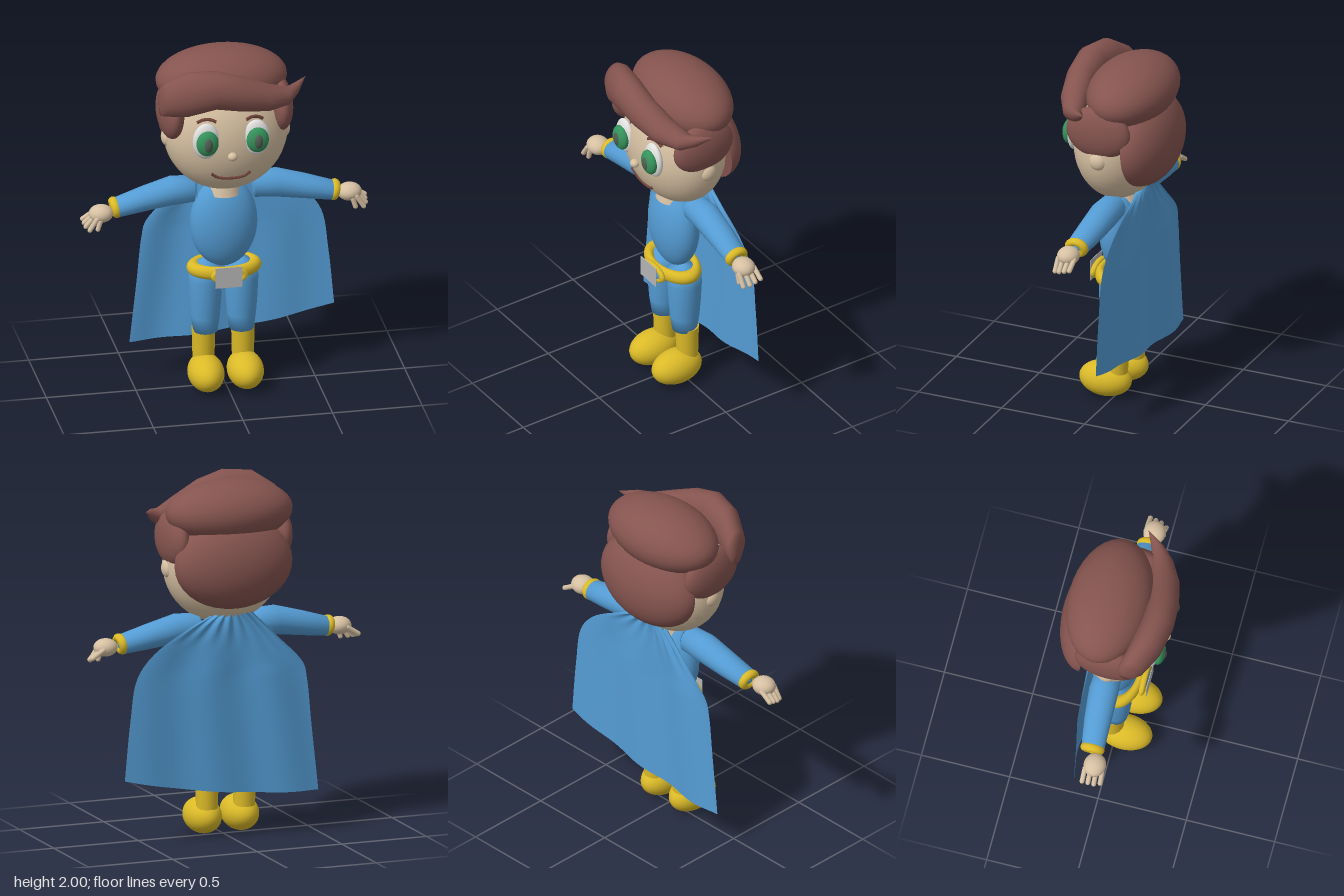
import * as THREE from 'three';

const mat = (name, color, extra = {}) => {
  const m = new THREE.MeshStandardMaterial({ color, ...extra });
  m.name = name;
  return m;
};

// Skin of elliptical sections along x: [x, y, z, ry, rz]
function loftX(sections, n = 20) {
  const pos = [], idx = [];
  for (const [x, y, z, ry, rz] of sections)
    for (let j = 0; j < n; j++) {
      const a = (j / n) * Math.PI * 2;
      pos.push(x, y + Math.sin(a) * ry, z + Math.cos(a) * rz);
    }
  for (let i = 0; i < sections.length - 1; i++)
    for (let j = 0; j < n; j++) {
      const a = i * n + j, b = i * n + (j + 1) % n;
      idx.push(a, a + n, b, b, a + n, b + n);
    }
  const g = new THREE.BufferGeometry();
  g.setAttribute('position', new THREE.Float32BufferAttribute(pos, 3));
  g.setIndex(idx);
  g.computeVertexNormals();
  return g;
}

export function createModel() {
  const root = new THREE.Group();
  root.name = 'capedFigure';

  const skin = mat('skin', 0xd6c0a2), hair = mat('hair brown', 0x85544f);
  const blue = mat('suit blue', 0x549cd4), cloth = mat('cape blue', 0x549cd4, { side: THREE.DoubleSide });
  const gold = mat('gold', 0xdbba28), white = mat('eye white', 0xe0e0de);
  const green = mat('iris green', 0x35935c), pupilGrey = mat('pupil grey', 0x505e52);
  const lip = mat('dark brown', 0x70433a), silver = mat('buckle grey', 0xb4b4b4);

  const add = (name, geo, m, p = [0, 0, 0], s = [1, 1, 1]) => {
    const mesh = new THREE.Mesh(geo, m);
    mesh.name = name;
    mesh.position.set(...p);
    mesh.scale.set(...s);
    root.add(mesh);
    return mesh;
  };
  const unit = new THREE.SphereGeometry(1, 36, 24);
  const ball = (name, m, p, s) => add(name, unit, m, p, s);
  const V = (a) => new THREE.Vector3(...a);
  const tube = (name, m, pts, r) =>
    add(name, new THREE.TubeGeometry(new THREE.CatmullRomCurve3(pts.map(V)), 20, r, 8), m);

  // Head
  const headZ = (x, y) => 0.25 * Math.sqrt(1 - (x / 0.345) ** 2 - ((y - 1.535) / 0.345) ** 2);
  ball('head', skin, [0, 1.535, 0], [0.345, 0.345, 0.25]);
  ball('nose', skin, [-0.01, 1.48, 0.258], [0.027, 0.024, 0.026]);
  for (const s of [-1, 1]) ball('ear', skin, [s * 0.325, 1.515, 0], [0.035, 0.052, 0.05]);

  // Eyes and brows
  for (const [x, s] of [[-0.152, -1], [0.128, 1]]) {
    ball('eyeWhite', white, [x, 1.572, 0.225], [0.075, 0.105, 0.034]);
    ball('iris', green, [x + 0.002, 1.57, 0.256], [0.062, 0.073, 0.035]);
    ball('pupil', pupilGrey, [x + 0.003, 1.57, 0.274], [0.029, 0.046, 0.024]);
    const brow = [-0.05, -0.02, 0.02, 0.05].map((d, i) => {
      const bx = x + 0.008 * -s + d, y = 1.683 + [-0.008, 0.006, 0.006, -0.008][i] - s * d * 0.1;
      return [bx, y, headZ(bx, y) + 0.004];
    });
    tube('eyebrow', lip, brow, 0.009);
  }

  // Mouth
  tube('mouth', lip, [-0.12, -0.085, -0.04, 0.03, 0.07, 0.1].map((x, i) => {
    const y = [1.364, 1.338, 1.329, 1.329, 1.338, 1.364][i];
    return [x, y, headZ(x, y) + 0.004];
  }), 0.008);

  // Hair: crown, sides, back and swept fringe
  ball('hairCrown', hair, [-0.012, 1.825, -0.06], [0.365, 0.175, 0.23]);
  for (const s of [-1, 1])
    ball('hairSide', hair, [s * 0.303 - 0.008, 1.675, 0.01], [0.073, 0.15, 0.19]);
  const half = new THREE.SphereGeometry(1, 36, 14, 0, Math.PI * 2, 0, Math.PI / 2);
  half.rotateX(-Math.PI / 2);
  const backHair = add('hairBack', half, hair, [0, 1.55, -0.145], [0.345, 0.255, 0.178]);
  const backCap = add('hairBackInner', new THREE.CircleGeometry(1, 36), hair, [0, 1.55, -0.145], [0.345, 0.255, 1]);
  backHair.rotation.x = backCap.rotation.x = 0.1;
  add('hairFringe', loftX([
    [-0.395, 1.765, 0.12, 0, 0],
    [-0.39, 1.785, 0.13, 0.08, 0.045],
    [-0.365, 1.805, 0.15, 0.095, 0.07],
    [-0.25, 1.85, 0.2, 0.128, 0.088],
    [-0.1, 1.878, 0.232, 0.11, 0.09],
    [0.05, 1.842, 0.232, 0.1, 0.083],
    [0.2, 1.795, 0.2, 0.076, 0.08],
    [0.32, 1.773, 0.152, 0.048, 0.06],
    [0.38, 1.797, 0.107, 0.033, 0.038],
    [0.44, 1.83, 0.04, 0, 0],
  ]), hair);

  // Torso and neck
  ball('torso', blue, [-0.01, 0.98, 0], [0.187, 0.265, 0.116]);
  add('neck', new THREE.CylinderGeometry(0.08, 0.1, 0.08, 24), skin, [-0.01, 1.2, 0]);

  // Arms, cuffs and hands
  for (const s of [-1, 1]) {
    const side = s < 0 ? 'right' : 'left', off = s < 0 ? -0.012 : 0;
    const arm = loftX([
      [0.15, 1.18, -0.02, 0, 0], [0.15, 1.18, -0.02, 0.06, 0.06],
      [0.165, 1.18, -0.02, 0.075, 0.075], [0.29, 1.178, -0.02, 0.082, 0.082],
      [0.45, 1.145, -0.012, 0.07, 0.075], [0.6, 1.112, 0, 0.056, 0.064], [0.62, 1.11, 0, 0, 0],
    ].map(([x, ...r]) => [s * x + off, ...r]).sort((a, b) => a[0] - b[0]));
    add(side + 'Arm', arm, blue);
    const cuff = add(side + 'Cuff', new THREE.TorusGeometry(0.043, 0.023, 12, 28), gold,
      [s * 0.605 + off, 1.114, 0], [1.04, 0.9, 1.1]);
    cuff.rotation.set(0, Math.PI / 2, -s * 0.25, 'ZYX');
    const hz = s < 0 ? 0.035 : 0.01;
    ball(side + 'Palm', skin, [s * 0.69 + off, 1.1, hz], [0.068, 0.05, 0.062]);
    for (let i = 0; i < 4; i++) {
      const z = hz + (i - 1.5) * 0.032;
      const finger = add(side + 'Finger', new THREE.CapsuleGeometry(0.014, 0.075, 4, 10), skin,
        [s * (0.752 - 0.012 * (i === 3)) + off, 1.075 - i * 0.006, z]);
      finger.rotation.z = s * (1.0 - i * 0.14);
    }
    const thumb = add(side + 'Thumb', new THREE.CapsuleGeometry(0.014, 0.05, 4, 10), skin,
      [s * 0.708 + off, 1.05, hz + 0.045]);
    thumb.rotation.z = s * 0.3;
  }

  // Legs and boots
  const leg = new THREE.LatheGeometry([[0, 0.325], [0.068, 0.33], [0.08, 0.42], [0.088, 0.53],
    [0.093, 0.64], [0.088, 0.72], [0, 0.77]].map((p) => new THREE.Vector2(...p)), 32);
  for (const [x, bx, name] of [[-0.112, -0.12, 'right'], [0.09, 0.1, 'left']]) {
    add(name + 'Leg', leg, blue, [x, 0, -0.004], [1, 1, 1.03]);
    add(name + 'BootShaft', new THREE.CylinderGeometry(0.065, 0.059, 0.25, 28), gold, [bx, 0.22, -0.014]);
    ball(name + 'Foot', gold, [bx, 0.1, 0.055], [0.1, 0.1, 0.152]);
  }

  // Belt and buckle
  const belt = add('belt', new THREE.TorusGeometry(0.17, 0.038, 16, 48), gold, [-0.01, 0.715, 0.008], [1, 0.62, 1]);
  belt.rotation.x = Math.PI / 2;
  add('buckleRing', new THREE.TorusGeometry(0.085, 0.02, 10, 36), gold, [-0.004, 0.71, 0.138], [1, 0.5, 0.8]);
  ball('buckleInset', blue, [-0.004, 0.71, 0.14], [0.085, 0.035, 0.016]);
  add('bucklePlate', new THREE.BoxGeometry(0.15, 0.12, 0.004), silver, [-0.012, 0.71, 0.165]);

  // Cape: rows of [left y, left x, right y, right x], rippled
  const rows = [[1.26, -0.12, 1.26, 0.13], [1.12, -0.26, 1.19, 0.27], [0.95, -0.42, 1.07, 0.46],
    [0.86, -0.443, 0.94, 0.56], [0.6, -0.47, 0.7, 0.6], [0.23, -0.51, 0.37, 0.632]];
  const left = new THREE.CatmullRomCurve3(rows.map((r) => V([r[1], r[0], 0])));
  const right = new THREE.CatmullRomCurve3(rows.map((r) => V([r[3], r[2], 0])));
  const cape = new THREE.PlaneGeometry(1, 1, 60, 30), p = cape.attributes.position;
  for (let i = 0; i < p.count; i++) {
    const u = p.getX(i) + 0.5, t = 0.5 - p.getY(i);
    const a = left.getPoint(t), b = right.getPoint(t);
    const flat = Math.min(1, t * 2);
    const y = a.y + (b.y - a.y) * u ** 2 + (1 - flat) * 0.06 * Math.sin(Math.PI * u) * t * 4;
    const pleat = 0.012 * Math.sin(u * 44) * Math.max(0, 1 - t * 3);
    const fold = 0.014 * Math.sin(u * 17 + t * 2) * flat * (1 - 0.6 * u);
    p.setXYZ(i, a.x + (b.x - a.x) * u, Math.min(y, 1.26), -0.138 + 0.018 * (u - 0.5) * flat + pleat + fold);
  }
  cape.computeVertexNormals();
  add('cape', cape, cloth);

  return root;
}
